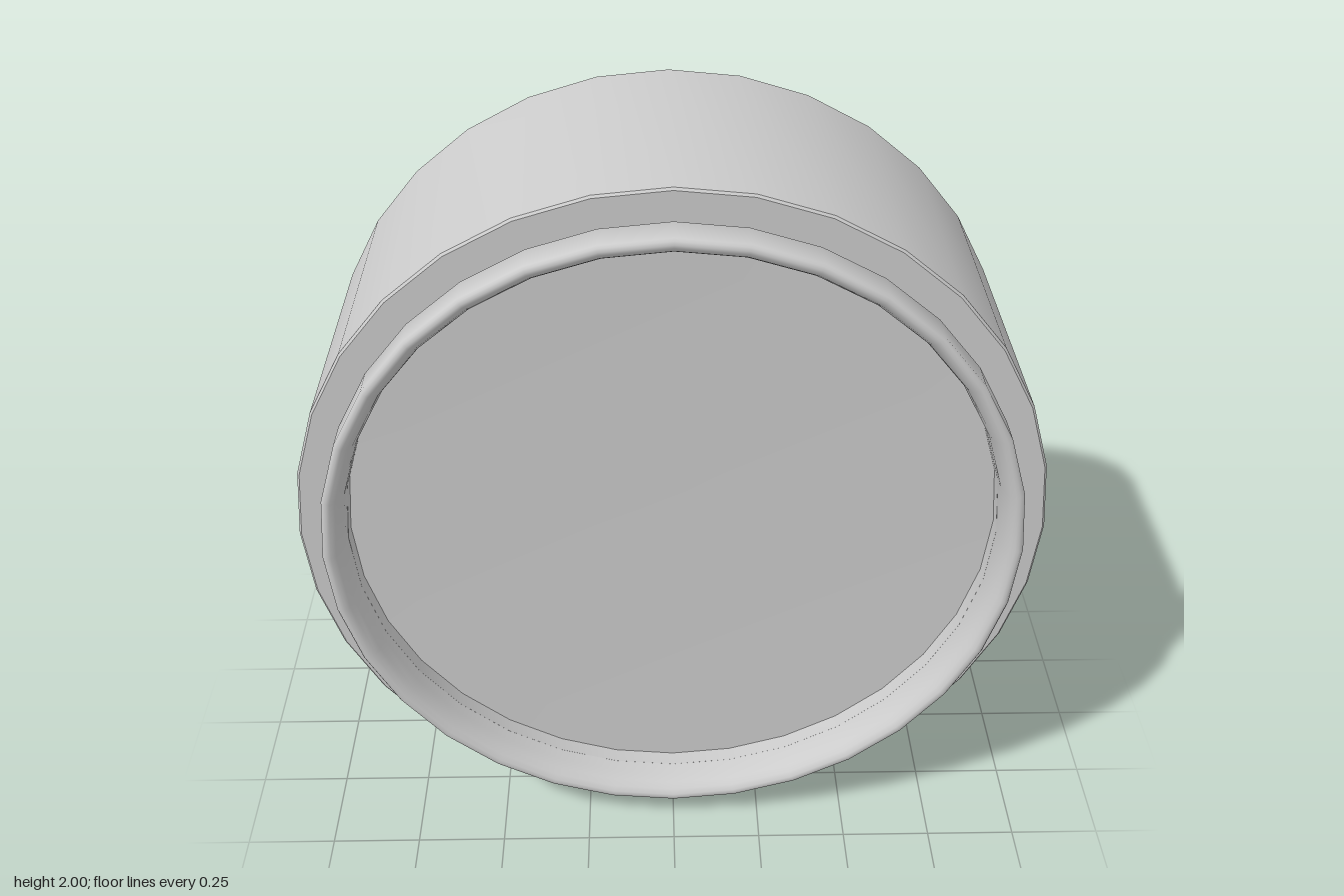
import * as THREE from 'three';
import { toCreasedNormals } from 'three/addons/utils/BufferGeometryUtils.js';

const SEGMENTS = 32;
const material = new THREE.MeshStandardMaterial({ color: 0xcccccc });
const endMaterial = new THREE.MeshStandardMaterial({ color: 0xcccccc, side: THREE.DoubleSide });

// Revolves a counter-clockwise (radius, z) profile around the z axis.
function turned(name, profile, crease = 0.5, start = 0, length = Math.PI * 2, segments = SEGMENTS) {
  const points = profile.map(([r, z]) => new THREE.Vector2(r, z));
  const lathe = new THREE.LatheGeometry(points, segments, start, length).rotateX(Math.PI / 2);
  const mesh = new THREE.Mesh(toCreasedNormals(lathe, crease), material);
  mesh.name = name;
  return mesh;
}

// Half of a shallow curved face, listed from the centre outwards.
function curvedFace(radius, rimZ, rise) {
  return Array.from({ length: 9 }, (_, i) => [radius * i / 8, rimZ + rise * (1 - (i / 8) ** 2)]);
}

export function createModel() {
  const model = new THREE.Group();
  model.name = 'lensCell';

  // Barrel with a shoulder at the front, a lens seat and a deep recess at the back
  model.add(turned('barrel', [
    [0.932, -0.43], [0.994, -0.43], [1, -0.424], [1, 0.314], [0.994, 0.32],
    [0.91, 0.32], [0.91, 0.335], [0.867, 0.335], [0.867, -0.2],
    [0.926, -0.2], [0.926, -0.424], [0.932, -0.43],
  ]));

  // Raised front ring with a rounded inner lip, above a fine groove
  model.add(turned('frontRing', [
    [0.867, 0.33], [0.917, 0.33], [0.922, 0.335], [0.922, 0.42], [0.917, 0.427],
    [0.908, 0.43], [0.899, 0.428], [0.887, 0.418], [0.877, 0.4], [0.869, 0.37], [0.867, 0.33],
  ], 0.9));

  // Lens, bulging slightly towards the back
  model.add(turned('lens', [
    ...curvedFace(0.87, -0.185, -0.025),
    ...curvedFace(0.87, 0.29, -0.01).reverse(),
  ]));

  // Retaining ring in two halves, with a narrow gap at each joint
  const retainer = new THREE.Group();
  retainer.name = 'retainingRing';
  const gap = 0.03;
  const joint = THREE.MathUtils.degToRad(-66.4);
  const profile = [
    [0.898, -0.247], [0.915, -0.247], [0.928, -0.235], [0.928, -0.19],
    [0.884, -0.19], [0.884, -0.233], [0.898, -0.247],
  ];
  const endShape = new THREE.Shape(profile.map(([r, z]) => new THREE.Vector2(r, z)));
  for (let i = 0; i < 2; i++) {
    const half = new THREE.Group();
    half.name = 'retainingRingHalf';
    // The sweep starts at -y, so a quarter turn puts its start on +x
    half.rotation.z = joint + Math.PI / 2 + i * Math.PI;
    half.add(turned('retainingRingBody', profile, 0.9, gap / 2, Math.PI - gap, SEGMENTS / 2));
    // End caps closing the cut section
    for (const angle of [gap / 2, Math.PI - gap / 2]) {
      const end = new THREE.ShapeGeometry(endShape).rotateX(Math.PI / 2).rotateZ(angle - Math.PI / 2);
      const cap = new THREE.Mesh(end, endMaterial);
      cap.name = 'retainingRingEnd';
      half.add(cap);
    }
    retainer.add(half);
  }
  model.add(retainer);

  // Stand the cell on the ground
  for (const part of model.children) part.position.y = 1;
  return model;
}
